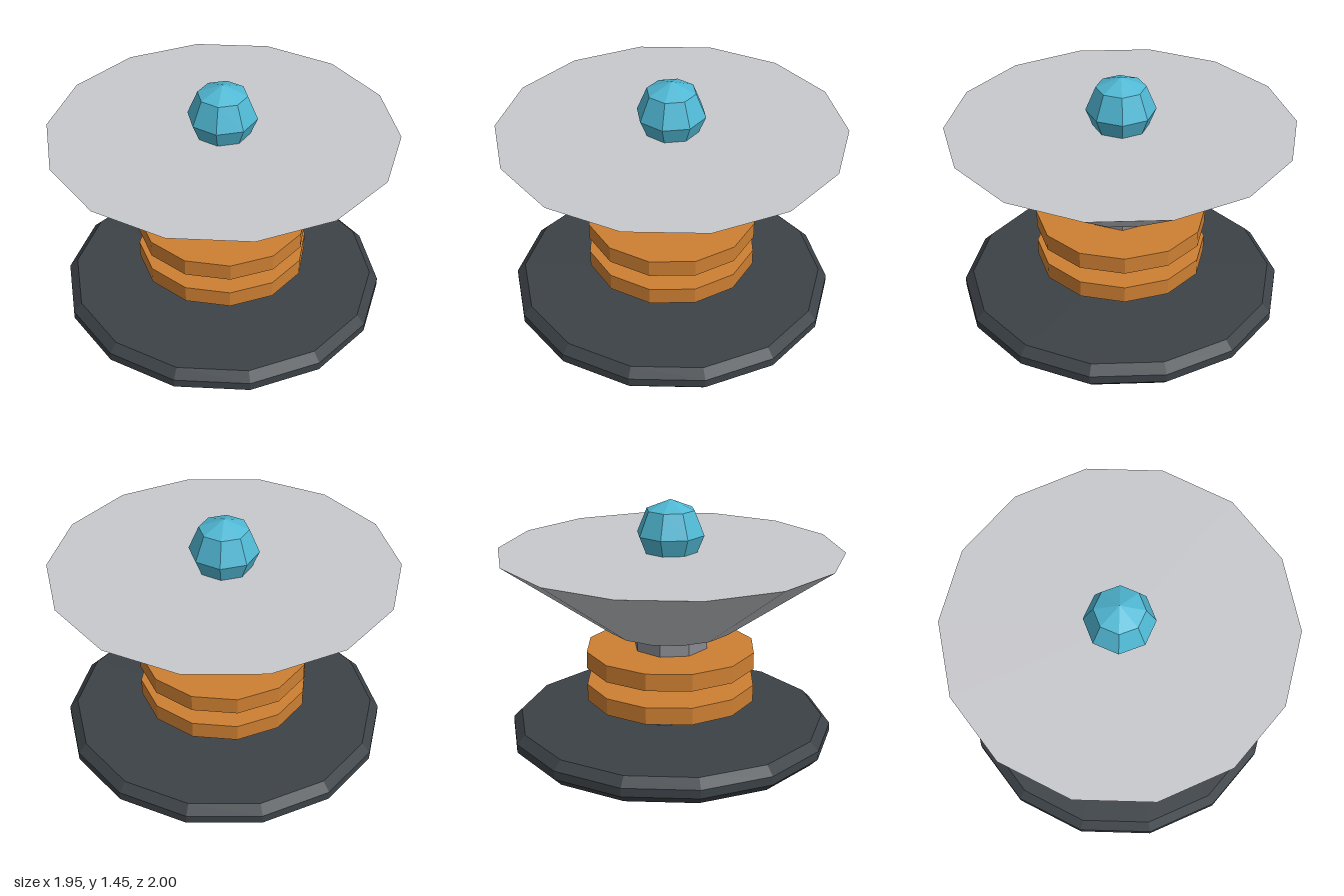
import * as THREE from 'three';

const paint = (name, color) => {
  const m = new THREE.MeshStandardMaterial({ color, flatShading: true });
  m.name = name;
  return m;
};

export function createModel() {
  const model = new THREE.Group();
  model.name = 'pedestalDish';

  const charcoal = paint('charcoal', 0x3c4247);
  const steel = paint('steel grey', 0x888a90);
  const bronze = paint('bronze', 0xcd7f32);
  const silver = paint('pale silver', 0xc8c9cd);
  const blue = paint('sky blue', 0x50b8d4);

  const add = (name, geometry, material, y) => {
    const mesh = new THREE.Mesh(geometry, material);
    mesh.name = name;
    mesh.position.y = y;
    model.add(mesh);
  };

  // Bevelled fourteen-sided foot
  const profile = [[0, 0], [0.9, 0], [0.95, 0.05], [0.95, 0.1], [0.9, 0.15], [0, 0.15]]
    .map(([r, y]) => new THREE.Vector2(r, y));
  add('base', new THREE.LatheGeometry(profile, 14), charcoal, 0);

  // Octagonal column
  add('column', new THREE.CylinderGeometry(0.22, 0.22, 0.6, 8), steel, 0.425);

  // Two discs around the column
  [['lowerRing', 0.325], ['upperRing', 0.525]].forEach(([name, y]) =>
    add(name, new THREE.CylinderGeometry(0.5, 0.5, 0.1, 12), bronze, y));

  // Flared dish with a flat top
  add('dish', new THREE.CylinderGeometry(1, 0.375, 0.45, 14), silver, 0.925);

  // Faceted orb sunk into the dish
  add('orb', new THREE.SphereGeometry(0.2, 8, 4), blue, 1.25);

  return model;
}
